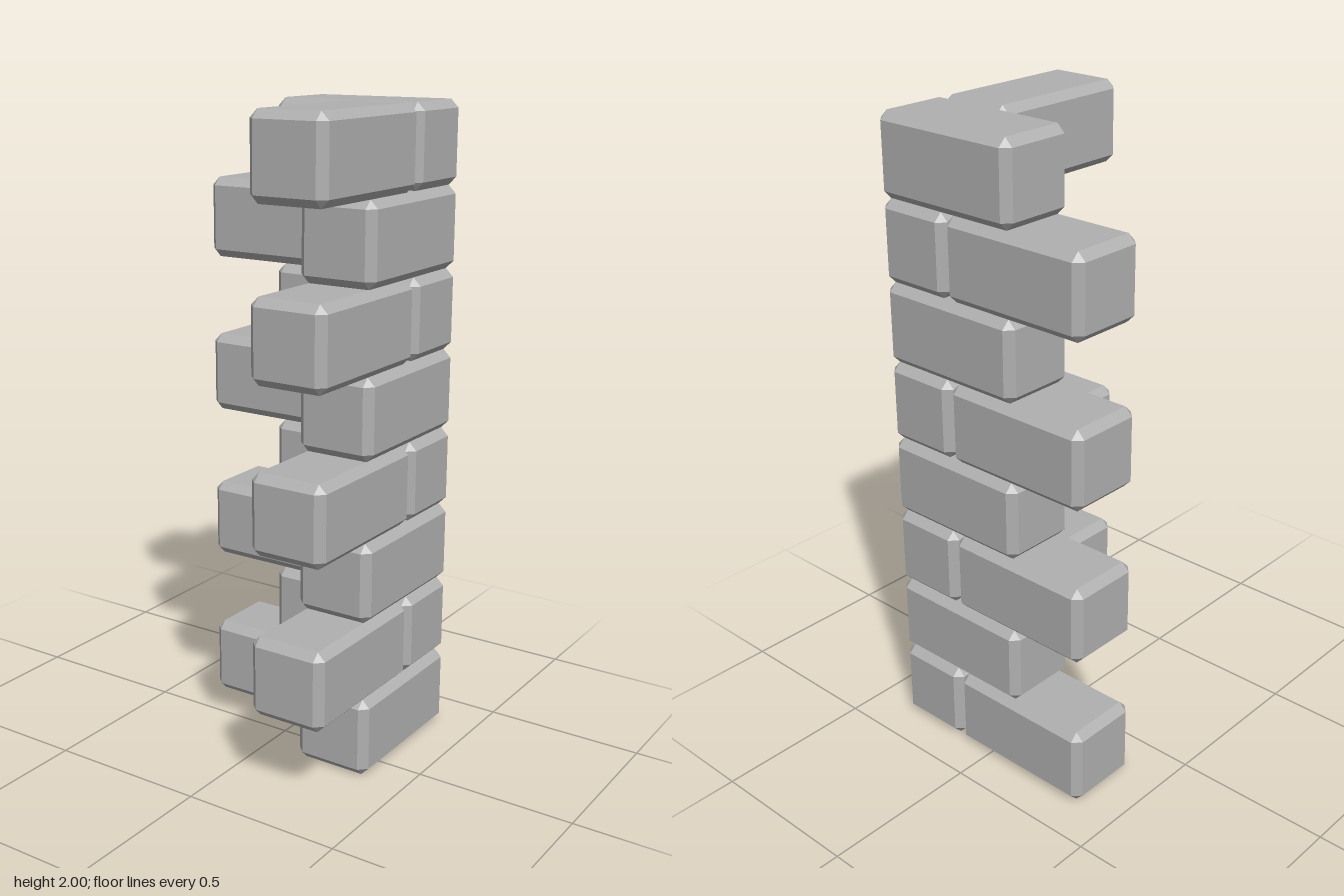
import * as THREE from 'three';
import { ConvexGeometry } from 'three/addons/geometries/ConvexGeometry.js';

const UNIT = 0.25;   // brick height and width; length is twice this
const BEVEL = 0.025;

// Box with every edge chamfered and a small triangle at each corner
function chamferedBox(w, h, d, b) {
  const points = [];
  for (const sx of [-1, 1]) for (const sy of [-1, 1]) for (const sz of [-1, 1]) {
    const x = w / 2, y = h / 2, z = d / 2;
    points.push(
      new THREE.Vector3(sx * x, sy * (y - b), sz * (z - b)),
      new THREE.Vector3(sx * (x - b), sy * y, sz * (z - b)),
      new THREE.Vector3(sx * (x - b), sy * (y - b), sz * z)
    );
  }
  return new ConvexGeometry(points);
}

export function createModel() {
  const model = new THREE.Group();
  model.name = 'cornerQuoins';
  const stone = new THREE.MeshStandardMaterial({ color: 0xb0b0b0 });
  stone.name = 'greyStone';

  const alongX = chamferedBox(2 * UNIT, UNIT, UNIT, BEVEL);
  const alongZ = chamferedBox(UNIT, UNIT, 2 * UNIT, BEVEL);

  // Eight courses, alternating which brick wraps the corner
  for (let i = 0; i < 8; i++) {
    const course = new THREE.Group();
    course.name = `course${i + 1}`;
    course.position.y = (i + 0.5) * UNIT;
    const even = i % 2 === 0;

    const backBrick = new THREE.Mesh(alongX, stone);
    backBrick.name = 'backBrick';
    backBrick.position.set(even ? -0.125 : 0.125, 0, -0.25);

    const sideBrick = new THREE.Mesh(alongZ, stone);
    sideBrick.name = 'sideBrick';
    sideBrick.position.set(0.25, 0, even ? -0.125 : 0.125);

    course.add(backBrick, sideBrick);
    model.add(course);
  }
  return model;
}
